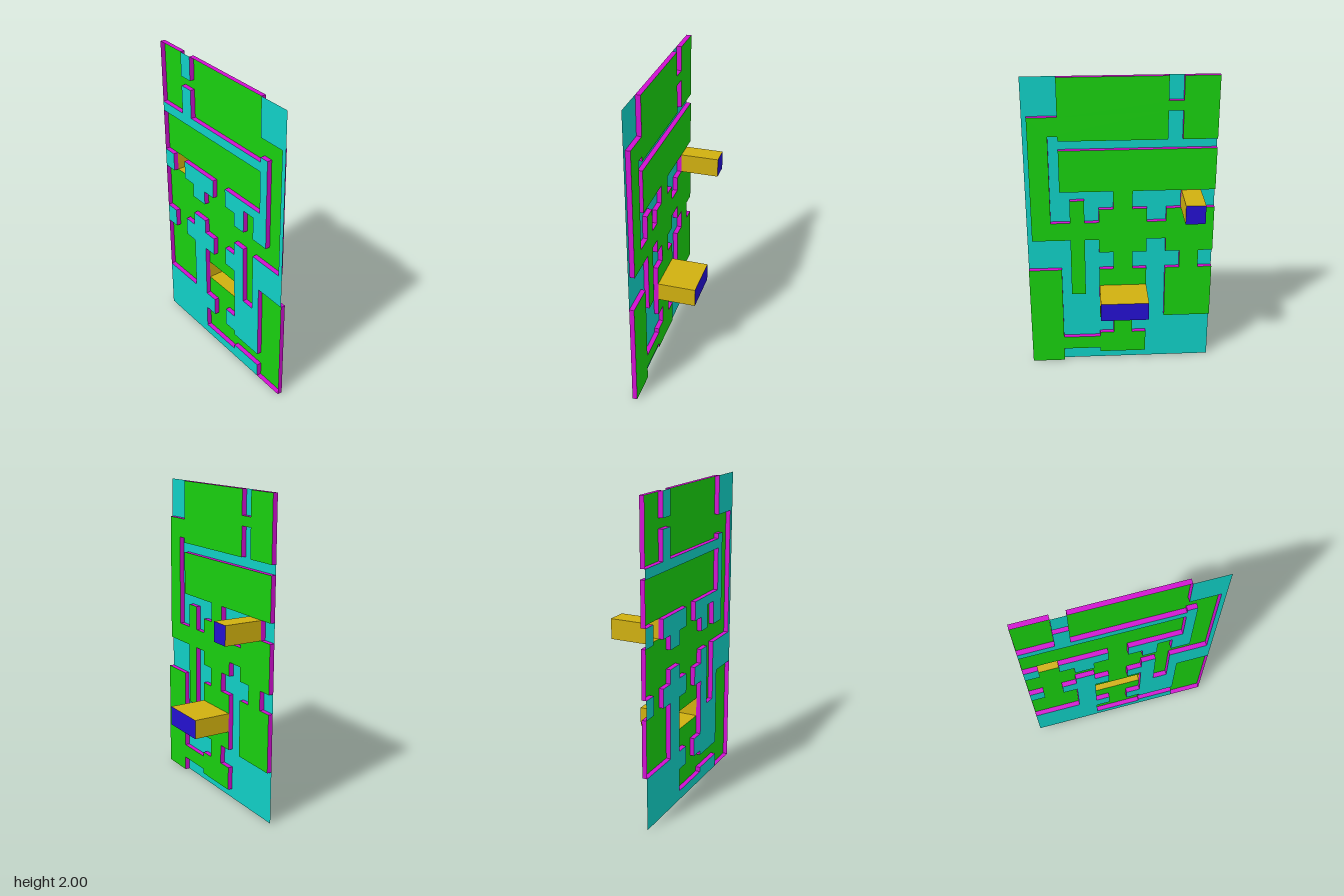
import * as THREE from 'three';

// Layout grid: 39 x 65 cells, column from the left, row from the top
const U = 2 / 65, COLS = 39, ROWS = 65;
const FRONT = 4.5 * U, FLOOR = 3.5 * U, BACK = -4.5 * U;
const px = (c) => (c - COLS / 2) * U;
const py = (r) => (ROWS - r) * U;

const paint = (color) => new THREE.MeshStandardMaterial({ color, side: THREE.DoubleSide, flatShading: true });

function named(name, geometry, material) {
  const mesh = new THREE.Mesh(geometry, material);
  mesh.name = name;
  return mesh;
}

// Flat sheet bounded by a closed grid outline
function sheet(name, points, z, material) {
  const shape = new THREE.Shape(points.map(([c, r]) => new THREE.Vector2(px(c), py(r))));
  return named(name, new THREE.ShapeGeometry(shape).translate(0, 0, z), material);
}

// Upright band following a closed grid outline between two depths
function band(name, points, zFront, zBack, material) {
  const pos = [];
  points.forEach(([c, r], i) => {
    const [c2, r2] = points[(i + 1) % points.length];
    const a = [px(c), py(r), zFront], b = [px(c2), py(r2), zFront];
    const d = [px(c), py(r), zBack], e = [px(c2), py(r2), zBack];
    pos.push(...a, ...b, ...d, ...b, ...e, ...d);
  });
  const geometry = new THREE.BufferGeometry();
  geometry.setAttribute('position', new THREE.Float32BufferAttribute(pos, 3));
  geometry.computeVertexNormals();
  return named(name, geometry, material);
}

const rect = (c0, r0, c1, r1) => [[c0, r0], [c1, r0], [c1, r1], [c0, r1]];

export function createModel() {
  const group = new THREE.Group();
  group.name = 'mazePanel';
  const green = paint(0x19d00f), cyan = paint(0x10d0c6), magenta = paint(0xd010d0);
  const yellow = paint(0xd0b010), blue = paint(0x2410d0);

  // Edges of the raised areas, clockwise around the panel
  const topNotch = [[7, 0], [7, 5], [10, 5], [10, 0]];
  const rightUpper = [[32, 0], [32, 8], [38, 8], [38, 35], [30, 35], [30, 48], [27, 48], [27, 35],
    [24, 35], [24, 38], [21, 38], [21, 42], [24, 42], [24, 46]];
  const rightLower = [[24, 50], [24, 54], [21, 54], [21, 58], [24, 58], [24, 59], [32, 59], [32, 42], [39, 42]];
  const leftLower = [[32, 65], [32, 62], [24, 62], [24, 63], [14, 63], [14, 58], [17, 58], [17, 54], [14, 54], [14, 50]];
  const leftUpper = [[14, 46], [14, 42], [17, 42], [17, 38], [14, 38], [14, 35], [10, 35], [10, 38],
    [7, 38], [7, 42], [10, 42], [10, 54], [0, 54]];
  const lowNotch = [[0, 42], [3, 42], [3, 38], [0, 38]];
  const midNotch = [[0, 28], [3, 28], [3, 24], [0, 24]];
  const island = [[7, 28], [10, 28], [10, 31], [14, 31], [14, 28], [17, 28], [17, 24], [7, 24]];
  const corridor = [[0, 15], [32, 15], [32, 24], [21, 24], [21, 28], [24, 28], [24, 31], [27, 31], [27, 26],
    [30, 26], [30, 31], [34, 31], [34, 12], [32, 12], [32, 13], [10, 13], [10, 7], [7, 7], [7, 13], [0, 13]];

  // Raised areas
  const raised = {
    topNotch, lowNotch, midNotch, island, corridor,
    rightArea: [...rightUpper, ...rightLower, [39, 0]],
    leftArea: [...leftLower, ...leftUpper, [0, 65]],
  };
  for (const [name, outline] of Object.entries(raised)) group.add(sheet(name, outline, FRONT, cyan));

  // Recessed floor, parted by the wide pocket; its side branch wraps the small pocket and island
  const upperFloor = [[0, 0], ...topNotch, ...rightUpper, ...leftUpper, ...lowNotch,
    ...midNotch.slice(0, 2), ...island, ...midNotch.slice(2), ...corridor];
  const lowerFloor = [...rightLower, [39, 65], ...leftLower];
  group.add(sheet('upperFloor', upperFloor, FLOOR, green), sheet('lowerFloor', lowerFloor, FLOOR, green));

  // Step walls between floor and raised areas, and along the panel rim
  const rim = [[0, 0], ...topNotch, ...rightUpper, ...rightLower, [39, 65], ...leftLower, ...leftUpper,
    ...lowNotch, ...midNotch, ...corridor];
  group.add(band('stepWalls', rim, FRONT, FLOOR, magenta), band('islandWalls', island, FRONT, FLOOR, magenta));

  // Deep pockets, open to the front
  const pockets = { smallPocket: rect(3, 24, 7, 28), widePocket: rect(14, 46, 24, 50) };
  for (const [name, outline] of Object.entries(pockets)) {
    group.add(band(name + 'Walls', outline, FLOOR, BACK, yellow), sheet(name + 'Back', outline, BACK, blue));
  }
  return group;
}
